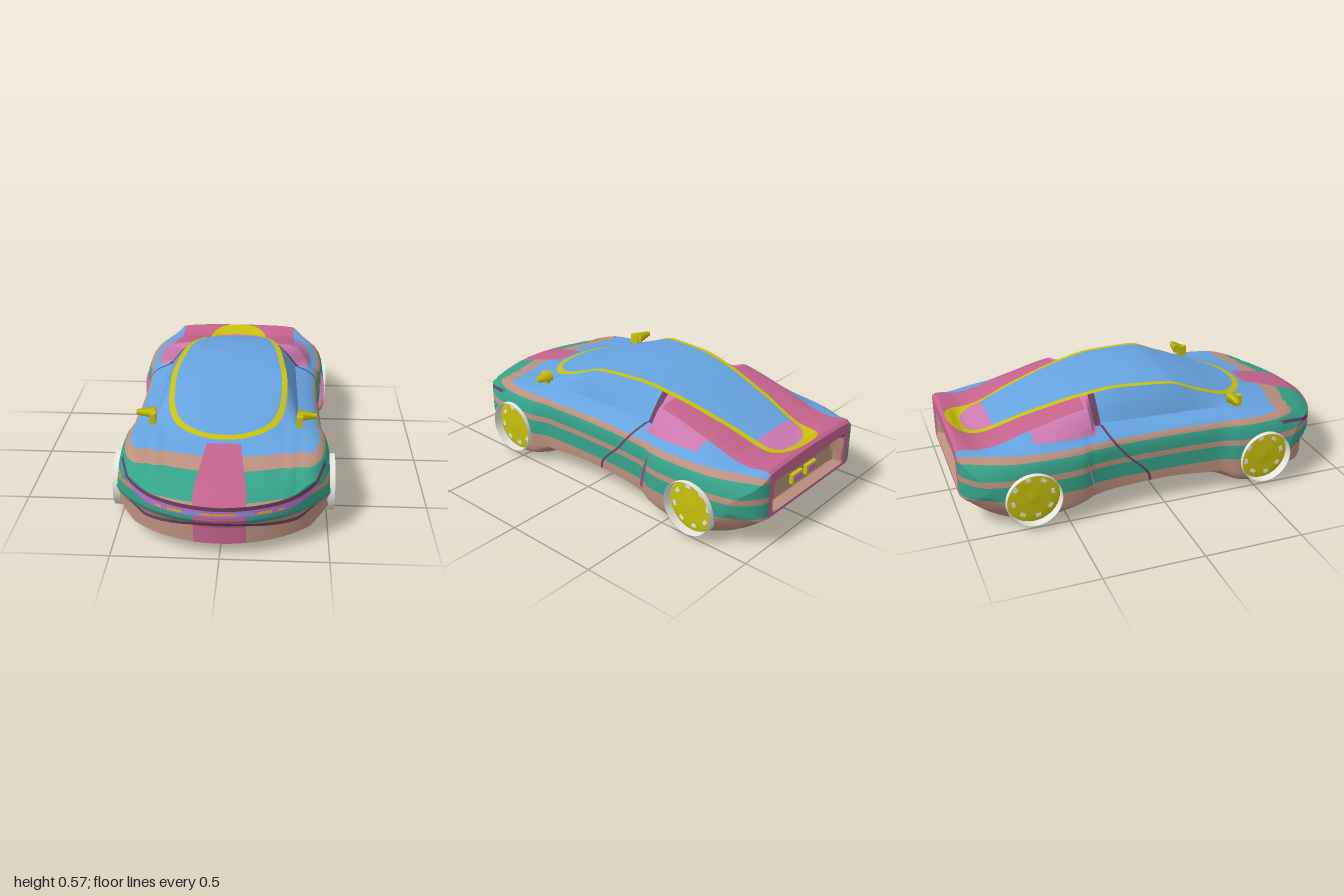
import * as THREE from 'three';
import { toCreasedNormals } from 'three/addons/utils/BufferGeometryUtils.js';

const mat = (name, color, side = THREE.FrontSide) => {
  const m = new THREE.MeshStandardMaterial({ color, side });
  m.name = name;
  return m;
};
const M = {
  blue: mat('blue', 0x66a3e0), teal: mat('teal', 0x36a38a), tan: mat('tan', 0xbb907f),
  pink: mat('pink', 0xc4638d), orchid: mat('orchid', 0xcc7ab0, THREE.DoubleSide),
  violet: mat('violet', 0xc06cd0), plum: mat('plum', 0x684260),
  yellow: mat('yellow', 0xc8c00c), white: mat('white', 0xe6e6de, THREE.DoubleSide),
};
const ramp = (v) => Math.min(1, Math.max(0, v));

// Smooth monotone curve through [position, value] pairs
function curve(...pairs) {
  const p = pairs.sort((a, b) => a[0] - b[0]), n = p.length;
  const slope = (i) => (p[i + 1][1] - p[i][1]) / (p[i + 1][0] - p[i][0]);
  const tangent = (i) => {
    if (i === 0 || i === n - 1) return slope(Math.min(i, n - 2));
    const a = slope(i - 1), b = slope(i);
    return a * b <= 0 ? 0 : 2 * a * b / (a + b);
  };
  const m = p.map((_, i) => tangent(i));
  return (z) => {
    if (z <= p[0][0]) return p[0][1];
    if (z >= p[n - 1][0]) return p[n - 1][1];
    const i = p.findIndex((q) => q[0] > z) - 1, h = p[i + 1][0] - p[i][0], t = (z - p[i][0]) / h;
    const e = t * t * (3 - 2 * t);
    return p[i][1] * (1 - e) + p[i + 1][1] * e + h * t * (1 - t) * (m[i] * (1 - t) - m[i + 1] * t);
  };
}

// Body lines along the length
const roofY = curve([1, .27], [.93, .316], [.8, .355], [.7, .379], [.62, .398], [.44, .455], [.25, .525], [.09, .566],
  [-.03, .573], [-.15, .571], [-.34, .545], [-.61, .47], [-.8, .405], [-.9, .372], [-.985, .414], [-1, .405]);
const edgeY = curve([1, .275], [.93, .318], [.8, .354], [.7, .377], [.6, .39], [.5, .405], [.4, .44], [.25, .497], [.09, .555],
  [-.15, .562], [-.34, .534], [-.61, .462], [-.87, .386], [-.985, .412], [-1, .4]);
const edgeX = curve([1, .26], [.6, .29], [.2, .297], [0, .28], [-.3, .245], [-.6, .2], [-.8, .17], [-1, .165]);
const sillX = curve([1, .34], [.6, .35], [.4, .355], [-.315, .345], [-.35, .41], [-.64, .42], [-.87, .36], [-1, .34]);
const sillY = curve([1, .283], [.93, .32], [.8, .36], [.7, .378], [.6, .39], [.4, .41], [-.31, .425], [-.35, .43], [-.64, .4],
  [-.87, .385], [-.985, .4], [-1, .388]);
const shoulderY = curve([1, .312], [.82, .368], [.6, .385], [.3, .39], [0, .388], [-.34, .395], [-.6, .39], [-.85, .37], [-1, .34]);
const tuck = curve([1, .025], [.5, .022], [.25, .005], [-.3, .005], [-.45, .02], [-1, .024]);
const haunch = curve([-.315, 0], [-.35, .025], [-.6, .02], [-.9, 0]);
const width = curve([1, .505], [.85, .515], [.7, .517], [.5, .51], [.3, .475], [0, .465], [-.2, .467], [-.36, .482],
  [-.42, .508], [-.5, .517], [-.75, .517], [-.9, .507], [-1, .48]);
const floorY = curve([1, .06], [.9, .05], [.73, .035], [.6, 0], [.47, .012], [.3, .055], [0, .075], [-.3, .065], [-.5, .03],
  [-.66, .005], [-.8, .04], [-.9, .085], [-1, .16]);
const noseBow = (x) => .9 * x ** 2 + 4 * x ** 6;

// Half cross-section from the roof centre down to the floor centre; the floor starts at point 34
const FLOOR = 34;
function section(s) {
  const w = width(s), fy = floorY(s), sy = shoulderY(s), b = haunch(s), k = tuck(s);
  const ex = edgeX(s), ey = edgeY(s), gx = sillX(s), gy = sillY(s), ly = Math.max(.12, fy + .06);
  const runs = [
    [8, [0, roofY(s)], [ex * .6, roofY(s) * .75 + ey * .25], [ex, ey]],
    [8, [ex, ey], [(ex + gx) / 2 + b * .8 + .004, (ey + gy) / 2 + b + .003], [gx, gy]],
    [18, [gx, gy], [w - k * 2 - .035, sy], [w - k, sy - .045], [w, (ly + sy - .05) / 2], [w, ly], [w - .012, fy + .045], [w - .09, fy]],
    [24, [w - .09, fy], [0, fy]],
  ];
  return runs.flatMap(([n, ...pts], r) => {
    const c = new THREE.SplineCurve(pts.map((p) => new THREE.Vector2(...p)));
    return c.getPoints(n).slice(r ? 1 : 0);
  });
}

// Ring of points, bowed in plan at both ends; c closes the end faces
function ring(s, c, midY) {
  const half = section(s);
  const full = [...half, ...half.slice(1, -1).reverse().map((p) => new THREE.Vector2(-p.x, p.y))];
  return full.map((p) => {
    const x = Math.abs(p.x), y = p.y + (midY - p.y) * c;
    let z = s - ramp((s - .3) / .7) * noseBow(x) + ramp((-s - .6) / .4) * 4.9 * Math.max(0, x - .33) ** 2;
    z -= .035 * ramp((s - .85) / .15) * ramp((.195 - y) / .045);
    if (s === -1 && c > 0) z += .05 * ramp((.3 - x) / .03) * ramp((y - .175) / .012) * ramp((.335 - y) / .012);
    return [p.x, y, z];
  });
}

// Each vertex holds position, normal and a floor flag
function bodyTriangles() {
  const rings = [], caps = 18, steps = 120;
  for (let i = 0; i < caps; i++) rings.push(ring(1, 1 - i / caps, .2));
  for (let i = 0; i <= steps; i++) rings.push(ring(1 - 2 * i / steps, 0, 0));
  for (let i = 1; i <= caps; i++) rings.push(ring(-1, i / caps, .25));
  const n = rings[0].length, index = [], floor = [];
  for (let i = 0; i + 1 < rings.length; i++) for (let j = 0; j < n; j++) {
    const k = (j + 1) % n, a = i * n + j, b = i * n + k;
    index.push(a, b, a + n, b, b + n, a + n);
    floor.push(i >= caps && i < caps + steps && j >= FLOOR && j < n - FLOOR ? 1 : 0);
  }
  let g = new THREE.BufferGeometry();
  g.setAttribute('position', new THREE.Float32BufferAttribute(rings.flat(2), 3));
  g.setIndex(index);
  g = toCreasedNormals(g, .6);
  const P = g.attributes.position.array, N = g.attributes.normal.array, tris = [];
  for (let i = 0; i < P.length; i += 9)
    tris.push([0, 3, 6].map((o) => [...P.slice(i + o, i + o + 3), ...N.slice(i + o, i + o + 3), floor[Math.floor(i / 18)]]));
  return tris;
}

// Split triangles along f = 0 so that colours meet on clean lines
const mix = (a, b, t) => a.map((v, i) => v + (b[i] - v) * t);
const cut = (tris, f) => tris.flatMap((t) => {
  const v = t.map(([x, y, z]) => f(Math.abs(x), y, z)), n = v.filter((q) => q > 0).length;
  if (n % 3 === 0) return [t];
  const k = v.findIndex((q) => (q > 0) === (n === 1)), l = (k + 1) % 3, m = (k + 2) % 3;
  const p = mix(t[k], t[l], v[k] / (v[k] - v[l])), q = mix(t[k], t[m], v[k] / (v[k] - v[m]));
  return [[t[k], p, q], [p, t[l], t[m]], [p, t[m], q]];
});

// Paint boundaries
const AXLES = [.55, -.675], HUB = .165;
const canopy = (inset, front, back) => (x, y, z) => (y < .34 ? 1 :
  (x / (edgeX(z) - inset)) ** 2 + ramp((z - .2) / front) ** 3 + ramp((-z - .7) / back) ** 6 - 1);
const frameOuter = canopy(0, .4, .285), frameInner = canopy(.027, .368, .21);
const seamZ = curve([.07, -.065], [.14, -.068], [.3, -.2], [.42, -.285], [.55, -.34]);
const stripe = (x, y, z) => x - .08 - .04 * ramp((z - .63) / .3);
const lampTop = curve([0, .268], [.3, .275], [.4, .295], [.48, .34]);
const lampLow = curve([0, .215], [.3, .22], [.37, .235], [.43, .28], [.48, .337]);
const mouth = curve([-.1, .172], [0, .18], [.1, .172], [.2, .156], [.35, .143], [.43, .18]);
const nose = (f) => (x, y, z) => (z > .6 ? f(x, y) : 1);
const recess = (x, y, z) => (z > -.9 ? 1 : Math.max(x - .3, Math.abs(y - .255) - .08));
const arch = (c) => (x, y, z) => (x < .4 ? 1 : Math.hypot(z - c, y - HUB) - .137);
const cuts = [
  ...[.42, .405, .375, .35, .28, .25, .175].map((h) => (x, y) => y - h),
  ...[.625, -.285, -.317, -.36, -.64, -.78].map((d) => (x, y, z) => z - d),
  ...[-.007, .007].map((d) => (x, y, z) => z - seamZ(y) - d),
  ...AXLES.map(arch),
  frameOuter, frameInner, stripe, recess, (x) => x - .34,
  nose((x, y) => y - lampTop(x)), nose((x, y) => y - lampTop(x) + .02), nose((x, y) => y - lampLow(x)),
  nose((x, y) => y - mouth(x)), nose((x, y) => y - mouth(x) + .017),
];

// Colour of a piece of bodywork; none inside the wheel arches
function paint(x, y, z, floor) {
  if (floor) return 'plum';
  if (AXLES.some((c) => arch(c)(x, y, z) < 0)) return null;
  if (recess(x, y, z) < 0) return y > .318 ? 'plum' : 'tan';
  if (frameInner(x, y, z) < 0) return z < -.78 ? 'orchid' : 'blue';
  if (frameOuter(x, y, z) < 0) return 'yellow';
  if (y > .42 ? z < -.285 && z > -.317 : Math.abs(z - seamZ(y)) < .007) return 'plum';
  if (z > .6 && x < .48) {
    if (y < lampTop(x) && y > lampTop(x) - .02) return 'plum';
    if (y < lampTop(x) && y > lampLow(x)) return 'violet';
    if (x < .43 && y < mouth(x) && y > mouth(x) - .017) return 'plum';
  }
  if (z > .625 && stripe(x, y, z) < 0) return 'pink';
  if (z < -.317 && (y > .405 || z < -.6)) {
    if (x < .34 && z < -.36) return 'pink';
    if (y > .405 && z > -.64) return 'orchid';
  }
  if (y > .375) return 'blue';
  return y > .35 || (y > .25 && y < .28) || y < .175 ? 'tan' : 'teal';
}

function buildBody() {
  const sorted = {}, body = new THREE.Group();
  body.name = 'body';
  for (const t of cuts.reduce(cut, bodyTriangles())) {
    const mean = (i) => (Math.abs(t[0][i]) + Math.abs(t[1][i]) + Math.abs(t[2][i])) / 3;
    const colour = paint(mean(0), mean(1), (t[0][2] + t[1][2] + t[2][2]) / 3, t[0][6]);
    if (colour) (sorted[colour] ??= []).push(...t);
  }
  for (const [colour, verts] of Object.entries(sorted)) {
    const g = new THREE.BufferGeometry();
    g.setAttribute('position', new THREE.Float32BufferAttribute(verts.flatMap((v) => v.slice(0, 3)), 3));
    g.setAttribute('normal', new THREE.Float32BufferAttribute(verts.flatMap((v) => v.slice(3, 6)), 3));
    add(body, g, colour, colour + 'Bodywork');
  }
  return body;
}

function add(parent, geo, colour, name, x = 0, y = 0, z = 0) {
  const m = new THREE.Mesh(geo, M[colour]);
  m.name = name;
  m.position.set(x, y, z);
  parent.add(m);
  return m;
}

// Wheel facing +x: white barrel with a recessed disc
function buildWheel() {
  const wheel = new THREE.Group();
  wheel.name = 'wheel';
  const lathe = (pts) => new THREE.LatheGeometry(pts.map((p) => new THREE.Vector2(...p)), 40).rotateZ(-Math.PI / 2);
  add(wheel, lathe([[.138, -.08], [.138, .009], [.135, .009], [.134, -.035]]), 'white', 'barrel');
  add(wheel, lathe([[.135, -.036], [.126, -.028], [.085, -.026], [.03, -.026], [.028, -.022], [0, -.022]]), 'yellow', 'wheelDisc');
  for (let i = 0; i < 8; i++) {
    const a = i * Math.PI / 4 + .2;
    const slot = add(wheel, new THREE.BoxGeometry(.006, .018, .026), 'white', 'wheelSlot', -.027, Math.cos(a) * .1, Math.sin(a) * .1);
    slot.rotation.x = a;
  }
  return wheel;
}

export function createModel() {
  const car = new THREE.Group();
  car.name = 'car';
  car.add(buildBody());
  for (const side of [1, -1]) {
    for (const z of AXLES) {
      const wheel = buildWheel();
      wheel.position.set(side * .521, HUB, z);
      if (side < 0) wheel.rotation.y = Math.PI;
      car.add(wheel);
    }
    // Wing mirror: stalk and tapered housing
    const mirror = new THREE.Group();
    mirror.name = 'wingMirror';
    add(mirror, new THREE.BoxGeometry(.028, .055, .05), 'yellow', 'mirrorStalk', side * .358, .437, .445);
    const housing = new THREE.CylinderGeometry(.014, .032, .092, 4, 1).rotateY(Math.PI / 4).rotateZ(side * -Math.PI / 2);
    add(mirror, housing, 'yellow', 'mirrorHousing', side * .395, .453, .418);
    car.add(mirror);
    // Side intake ahead of the rear wheel
    const intake = add(car, new THREE.CircleGeometry(1, 28), 'orchid', 'sideIntake', side * .485, .238, -.385);
    intake.scale.set(.03, .105, 1);
    intake.rotation.x = -.24;
    // Exhaust outlets
    add(car, new THREE.BoxGeometry(.085, .05, .03), 'yellow', 'exhaustFrame', side * .06, .245, -.955);
    add(car, new THREE.BoxGeometry(.064, .032, .004), 'violet', 'exhaustOpening', side * .06, .245, -.971);
    // Small lamps along the light strip
    for (const [x, w, colour] of [[.015, .03, 'yellow'], [.06, .05, 'yellow'], [.12, .08, 'blue'], [.2, .07, 'yellow'], [.275, .03, 'yellow']]) {
      const lamp = add(car, new THREE.BoxGeometry(w, .01, .008), colour, 'stripLamp', side * x, .231, .997 - noseBow(x));
      lamp.rotation.y = side * Math.atan(1.8 * x);
    }
  }
  return car;
}
